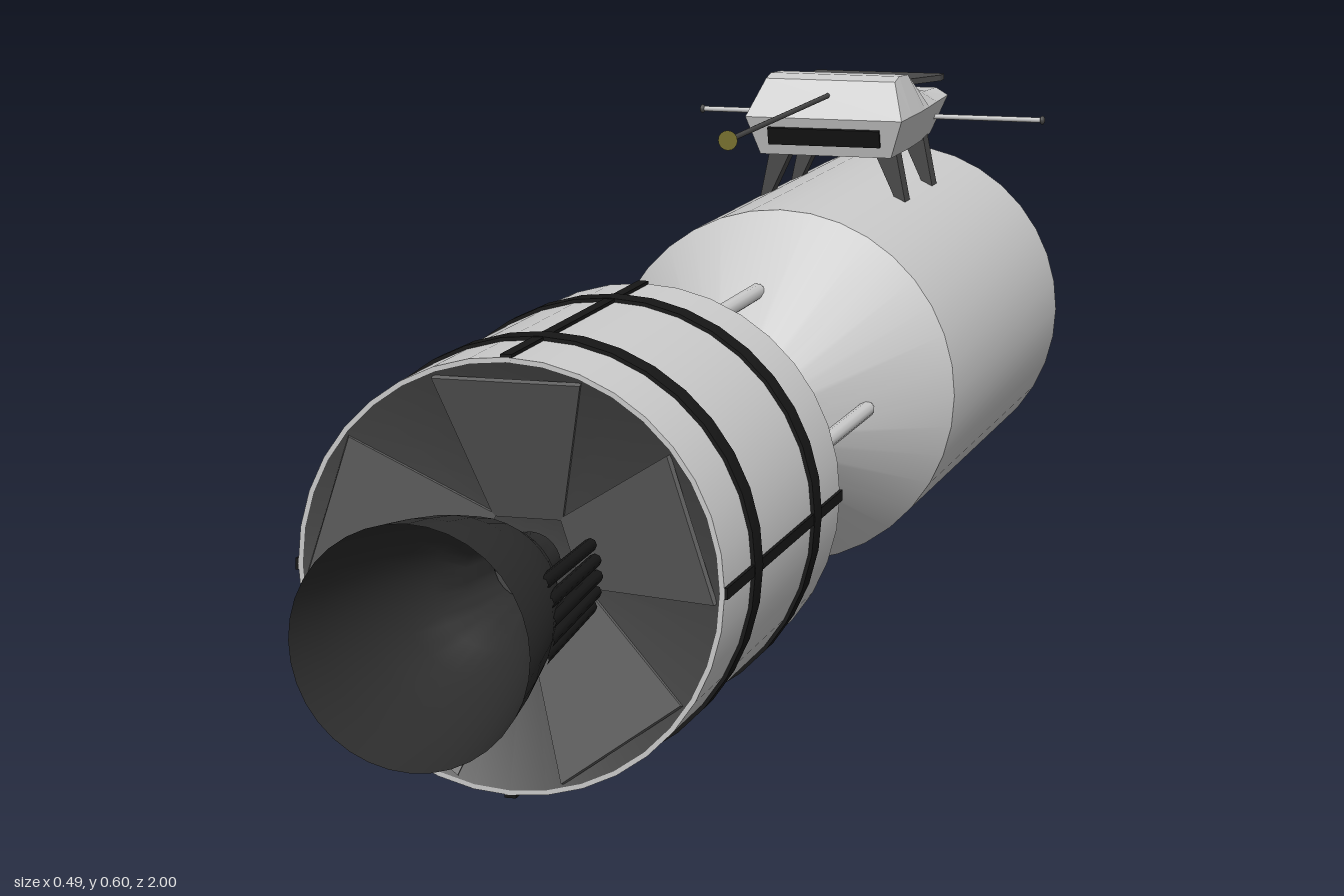
import * as THREE from 'three';
import { toCreasedNormals } from 'three/addons/utils/BufferGeometryUtils.js';

const AXIS_Y = 0.23, SEG = 36;
const material = (color, extra = {}) => new THREE.MeshStandardMaterial({ color, ...extra });
const grey = material(0xcccccc);
const black = material(0x161616);
const dark = material(0x484848);
const panelGrey = material(0x606060);
const nozzleDark = material(0x2c2c2c, { side: THREE.DoubleSide });
const brass = material(0x77702c);

function add(parent, name, geometry, mat) {
  const mesh = new THREE.Mesh(geometry, mat);
  mesh.name = name;
  parent.add(mesh);
  return mesh;
}

// Turned part along z from [radius, z] pairs
function turned(profile, crease = 0.45) {
  const geo = new THREE.LatheGeometry(profile.map(p => new THREE.Vector2(...p)), SEG);
  return toCreasedNormals(geo.rotateX(Math.PI / 2), crease);
}

// Round bar between two points
function bar(a, b, radius, sides = 10) {
  const from = new THREE.Vector3(...a), to = new THREE.Vector3(...b);
  return new THREE.TubeGeometry(new THREE.LineCurve3(from, to), 1, radius, sides);
}

function polygon(points, depth) {
  const shape = new THREE.Shape(points.map(p => new THREE.Vector2(...p)));
  return new THREE.ExtrudeGeometry(shape, { depth, bevelEnabled: false });
}

// Faceted hull from six-sided cross-sections running front to back
function hullGeometry() {
  // [bottom z, bottom y, middle z, top z, top y, width scale]
  const sections = [
    [-0.562, 0.495, -0.548, -0.585, 0.592, 1],
    [-0.61, 0.495, -0.61, -0.61, 0.597, 1],
    [-0.66, 0.495, -0.66, -0.66, 0.594, 1],
    [-0.69, 0.495, -0.69, -0.69, 0.582, 0.99],
    [-0.72, 0.495, -0.72, -0.72, 0.568, 0.98],
    [-0.78, 0.495, -0.78, -0.78, 0.559, 0.95],
    [-0.825, 0.497, -0.862, -0.862, 0.555, 0.92],
  ];
  const loops = sections.map(([zb, yb, zm, zt, yt, s]) => [
    [-0.088 * s, yb, zb], [0.088 * s, yb, zb], [0.105 * s, 0.545, zm],
    [0.087 * s, yt, zt], [-0.087 * s, yt, zt], [-0.105 * s, 0.545, zm],
  ]);
  const pos = [];
  const tri = (...corners) => corners.forEach(c => pos.push(...c));
  for (let s = 0; s < loops.length - 1; s++) {
    for (let i = 0; i < 6; i++) {
      const j = (i + 1) % 6, f = loops[s], r = loops[s + 1];
      tri(f[i], r[i], f[j]);
      tri(f[j], r[i], r[j]);
    }
  }
  const back = loops[loops.length - 1];
  for (const [a, b, c] of [[0, 1, 2], [0, 2, 5], [2, 3, 4], [2, 4, 5]]) {
    tri(loops[0][a], loops[0][b], loops[0][c]);
    tri(back[a], back[c], back[b]);
  }
  const geo = new THREE.BufferGeometry();
  geo.setAttribute('position', new THREE.Float32BufferAttribute(pos, 3));
  geo.computeVertexNormals();
  return geo;
}

function createBody() {
  const body = new THREE.Group();
  body.name = 'body';
  body.position.y = AXIS_Y;

  // Rear tank with its cone and the neck
  add(body, 'rearTank', turned([[0, -1], [0.226, -1], [0.226, -0.335], [0.05, -0.1], [0.05, 0.01]]), grey);
  // Front stage
  add(body, 'frontCone', turned([[0.226, 0.25], [0.05, 0], [0, 0]].reverse()), black);
  add(body, 'frontTank', turned([[0.226, 0.25], [0.226, 0.715], [0.221, 0.715]]), grey);
  for (const z of [0.36, 0.6]) {
    add(body, 'tankBand', turned([[0.22, z - 0.015], [0.23, z - 0.015], [0.23, z + 0.015], [0.22, z + 0.015]]), black);
  }

  // Four lengthwise strips and four struts joining the cones
  for (let i = 0; i < 4; i++) {
    const a = i * Math.PI / 2;
    const strip = new THREE.BoxGeometry(0.012, 0.008, 0.465).translate(0, 0.225, 0.4825).rotateZ(a);
    add(body, 'tankStrip', strip, black);
    const strut = new THREE.CapsuleGeometry(0.01, 0.36, 4, 10).rotateX(Math.PI / 2);
    add(body, 'strut', strut.translate(0, 0.14, -0.045).rotateZ(a), grey);
  }

  // Recessed engine bay with five sloping panels
  add(body, 'engineBay', turned([[0.222, 0.715], [0.05, 0.64], [0, 0.64]]), dark);
  for (let i = 0; i < 5; i++) {
    const geo = polygon([[-0.037, 0.055], [0.037, 0.055], [0.078, 0.222], [-0.078, 0.222]], 0.006);
    geo.rotateX(0.41).translate(0, 0, 0.624).rotateZ(i * Math.PI * 2 / 5);
    add(body, 'bayPanel', geo, panelGrey);
  }

  // Engine bell, throat plate and injector cross
  const bell = [[0.033, 0.645], [0.045, 0.715], [0.065, 0.752], [0.083, 0.8], [0.1, 0.87], [0.112, 0.94], [0.12, 1]];
  add(body, 'engineBell', turned(bell, 0.8), nozzleDark);
  add(body, 'throatPlate', new THREE.CircleGeometry(0.034, 24).translate(0, 0, 0.66), dark);
  for (const [w, h] of [[0.064, 0.012], [0.012, 0.064]]) {
    add(body, 'injectorCross', new THREE.BoxGeometry(w, h, 0.006).translate(0, 0, 0.663), black);
  }
  // Feed pipes along one side of the bell
  for (let i = -2; i <= 2; i++) {
    const a = i * 0.2, c = Math.cos(a), s = Math.sin(a);
    add(body, 'feedPipe', bar([0.082 * c, 0.082 * s, 0.68], [0.095 * c, 0.095 * s, 0.87], 0.007, 8), black);
  }
  return body;
}

function createCabin() {
  const cabin = new THREE.Group();
  cabin.name = 'cabin';
  add(cabin, 'cabinHull', hullGeometry(), grey);

  // Window slot on the sloping nose
  const slot = add(cabin, 'windowSlot', new THREE.BoxGeometry(0.15, 0.023, 0.008), black);
  slot.position.set(0, 0.521, -0.554);
  slot.rotation.x = 0.27;

  // Dark rear deck, widening toward the back
  const deck = polygon([[-0.036, 0.71], [0.036, 0.71], [0.05, 0.765], [0.09, 0.845], [0.09, 0.866],
    [-0.09, 0.866], [-0.09, 0.845], [-0.05, 0.765]], 0.008);
  add(cabin, 'rearDeck', deck.rotateX(-Math.PI / 2).translate(0, 0.566, 0), dark);

  // Splayed legs
  for (const z of [-0.615, -0.775]) {
    for (const side of [-1, 1]) {
      const points = [[0.055, 0.5], [0.09, 0.425], [0.1, 0.425], [0.085, 0.5]];
      const leg = polygon(points.map(([x, y]) => [side * x, y]), 0.028);
      add(cabin, 'leg', leg.translate(0, 0, z - 0.014), dark);
    }
  }

  // Forward probe and cross antenna
  add(cabin, 'probe', bar([0, 0.573, -0.62], [0, 0.573, -0.1], 0.0035, 8), dark);
  const tip = new THREE.CylinderGeometry(0.012, 0.004, 0.02, 16).rotateX(Math.PI / 2);
  add(cabin, 'probeTip', tip.translate(0, 0.573, -0.103), brass);
  add(cabin, 'crossAntenna', bar([-0.24, 0.521, -0.81], [0.24, 0.521, -0.81], 0.0035, 8), grey);
  for (const side of [-1, 1]) {
    const knob = new THREE.SphereGeometry(0.006, 12, 8).scale(0.6, 1, 1);
    add(cabin, 'antennaKnob', knob.translate(side * 0.239, 0.521, -0.81), dark);
  }
  return cabin;
}

export function createModel() {
  const model = new THREE.Group();
  model.name = 'spacecraft';
  model.add(createBody(), createCabin());
  return model;
}
